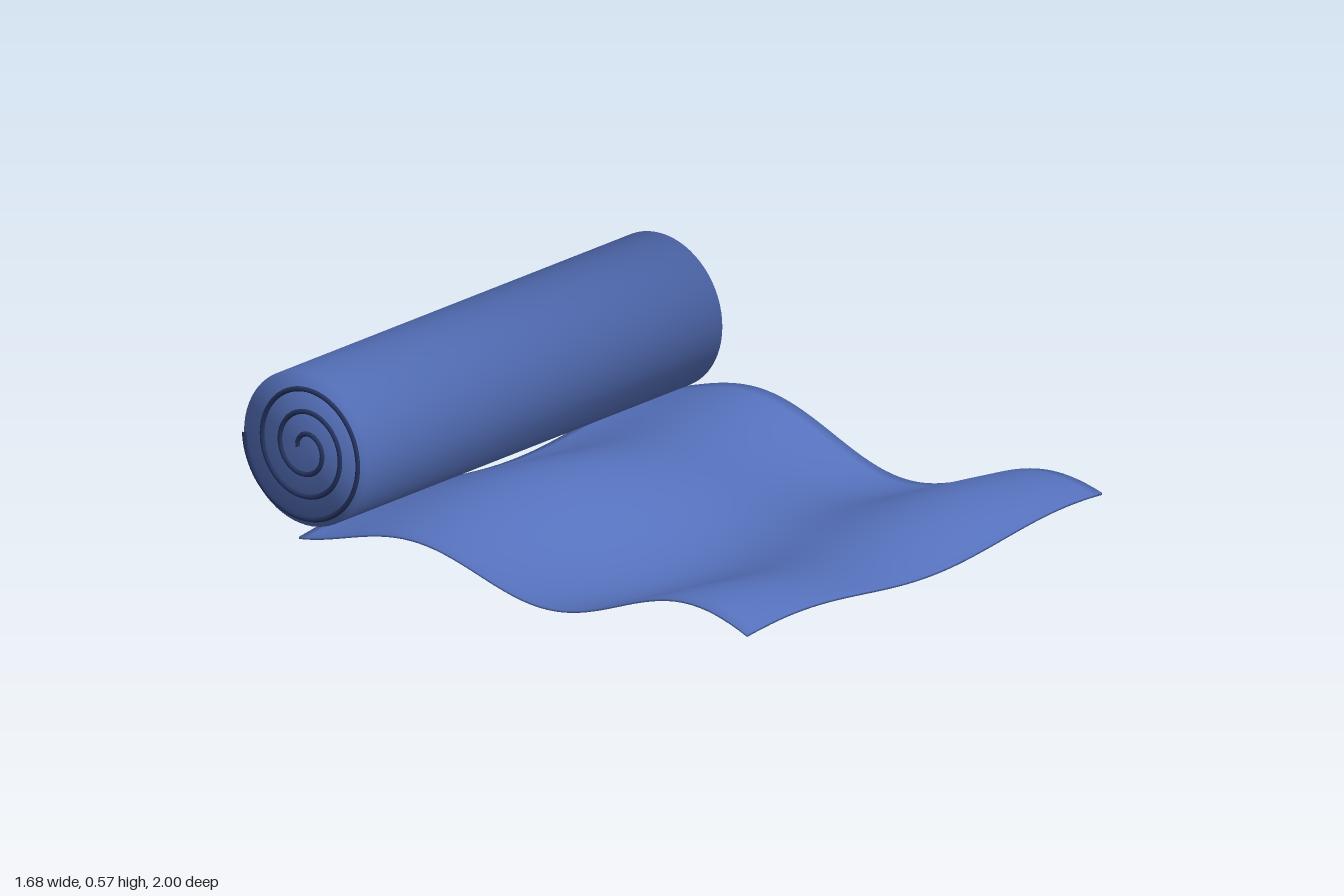
import * as THREE from 'three';

const HALF_WIDTH = 0.83;
const ROLL = { radius: 0.245, y: 0.33, z: -0.753 };

// Gentle wave of the unrolled sheet: a main swell along z and a slanted ripple.
function sheetHeight(x, z) {
  return 0.094 + 0.064 * Math.cos(5.6 * (z - 0.79))
    + 0.026 * Math.cos(4.87 * (x - 0.65 * z - 0.04));
}

// Thin wavy slab with normals that soften around its borders.
function makeSheetGeometry() {
  const front = 1, back = -0.78, thickness = 0.007, e = 0.001;
  const geo = new THREE.BoxGeometry(2 * HALF_WIDTH, thickness, front - back, 44, 1, 56);
  geo.translate(0, 0, (front + back) / 2);
  const pos = geo.attributes.position, nor = geo.attributes.normal;
  const n = new THREE.Vector3();
  for (let i = 0; i < pos.count; i++) {
    const x = pos.getX(i), y = pos.getY(i), z = pos.getZ(i);
    const dx = (sheetHeight(x + e, z) - sheetHeight(x - e, z)) / (2 * e);
    const dz = (sheetHeight(x, z + e) - sheetHeight(x, z - e)) / (2 * e);
    n.set(-dx, 1, -dz).normalize().multiplyScalar(Math.sign(y));
    if (Math.abs(x) > HALF_WIDTH - e) n.x += Math.sign(x);
    if (z > front - e) n.z += 1;
    if (z < back + e) n.z -= 1;
    n.normalize();
    nor.setXYZ(i, n.x, n.y, n.z);
    pos.setY(i, y + sheetHeight(x, z));
  }
  return geo;
}

// Cylinder whose rim normals blend between the side and the end discs.
function makeRollGeometry() {
  const geo = new THREE.CylinderGeometry(ROLL.radius, ROLL.radius, 2 * HALF_WIDTH, 64, 1);
  const pos = geo.attributes.position, nor = geo.attributes.normal;
  const n = new THREE.Vector3();
  for (let i = 0; i < pos.count; i++) {
    n.set(pos.getX(i) / ROLL.radius, Math.sign(pos.getY(i)), pos.getZ(i) / ROLL.radius).normalize();
    nor.setXYZ(i, n.x, n.y, n.z);
  }
  return geo.rotateZ(-Math.PI / 2);
}

// Three-turn spiral in the y-z plane, starting and ending towards the back.
class SpiralCurve extends THREE.Curve {
  getPoint(t, target = new THREE.Vector3()) {
    const angle = t * 6 * Math.PI;
    const r = 0.03 + 0.213 * t;
    return target.set(0, r * Math.sin(angle), -r * Math.cos(angle));
  }
}

export function createModel() {
  const group = new THREE.Group();
  group.name = 'rolledMat';
  const blue = new THREE.MeshStandardMaterial({ color: 0x5672bd });
  blue.name = 'blue fabric';
  const navy = new THREE.MeshStandardMaterial({ color: 0x24335f });
  navy.name = 'navy spiral';

  function add(name, geometry, material, x, y, z) {
    const mesh = new THREE.Mesh(geometry, material);
    mesh.name = name;
    mesh.position.set(x, y, z);
    group.add(mesh);
  }

  add('sheet', makeSheetGeometry(), blue, 0, 0, 0);
  add('roll', makeRollGeometry(), blue, 0, ROLL.y, ROLL.z);

  // Spiral seam on both ends of the roll
  const spiral = new THREE.TubeGeometry(new SpiralCurve(), 160, 0.008, 8, false);
  for (const side of [-1, 1]) {
    add(side > 0 ? 'leftSpiral' : 'rightSpiral', spiral, navy, side * HALF_WIDTH, ROLL.y, ROLL.z);
  }
  return group;
}
